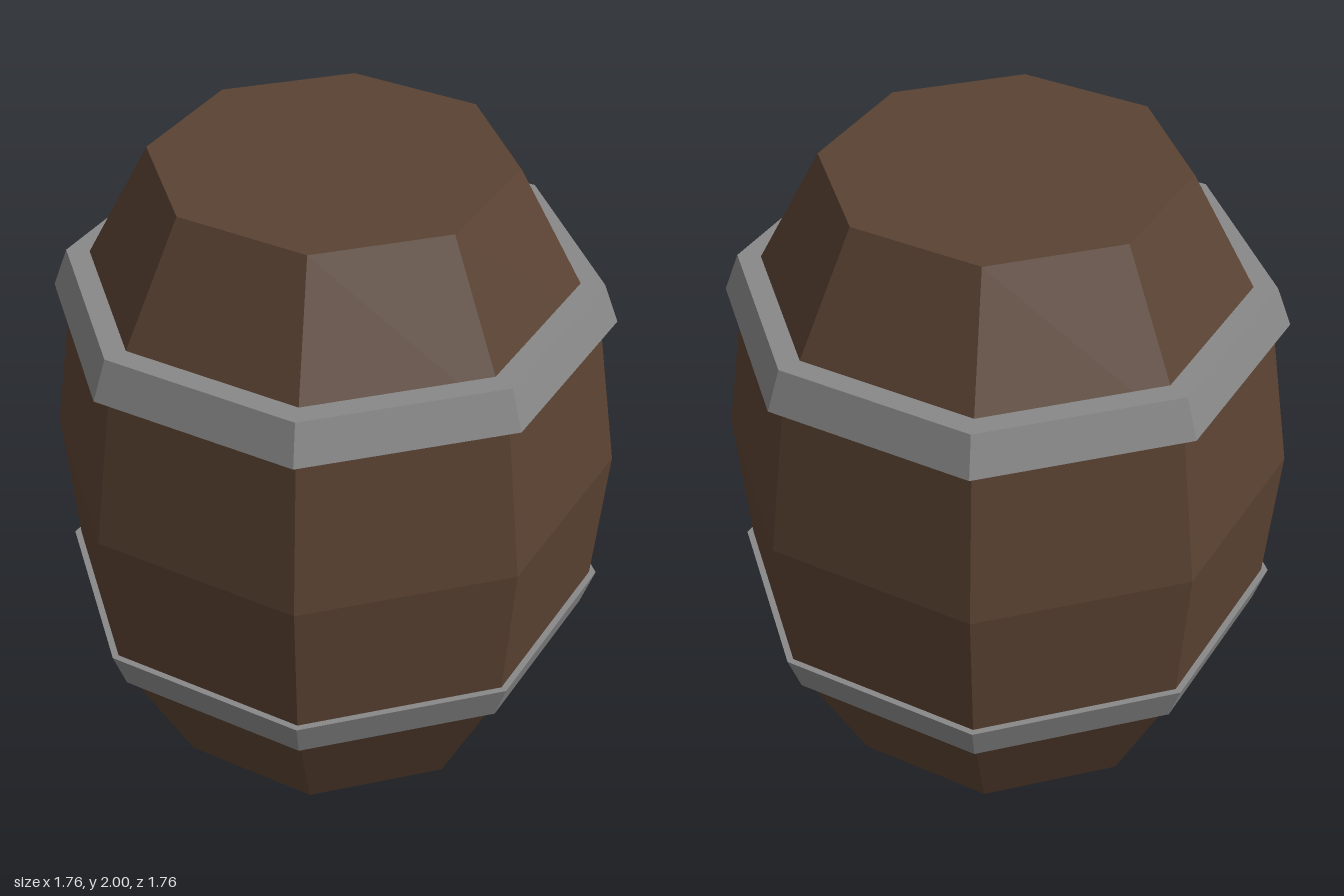
import * as THREE from 'three';

const SIDES = 8;

// Revolve a [radius, height] profile into a faceted eight-sided part
function turned(name, profile, material) {
  const points = profile.map(([r, y]) => new THREE.Vector2(r, y));
  const mesh = new THREE.Mesh(new THREE.LatheGeometry(points, SIDES), material);
  mesh.name = name;
  return mesh;
}

export function createModel() {
  const wood = new THREE.MeshStandardMaterial({ color: 0x5a4232, flatShading: true });
  wood.name = 'darkWood';
  const iron = new THREE.MeshStandardMaterial({ color: 0x888888, flatShading: true });
  iron.name = 'greyIron';

  const barrel = new THREE.Group();
  barrel.name = 'barrel';

  // Bulging staves with closed flat ends
  barrel.add(turned('barrelBody', [
    [0, 0], [0.58, 0], [0.835, 0.5], [0.88, 1], [0.81, 1.5], [0.55, 2], [0, 2],
  ], wood));

  // Flared hoops: outer face, flat rims and a hidden inner face
  barrel.add(turned('lowerHoop', [
    [0.74, 0.415], [0.815, 0.415], [0.86, 0.54], [0.78, 0.54], [0.74, 0.415],
  ], iron));
  barrel.add(turned('upperHoop', [
    [0.76, 1.505], [0.86, 1.505], [0.815, 1.63], [0.72, 1.63], [0.76, 1.505],
  ], iron));

  return barrel;
}
